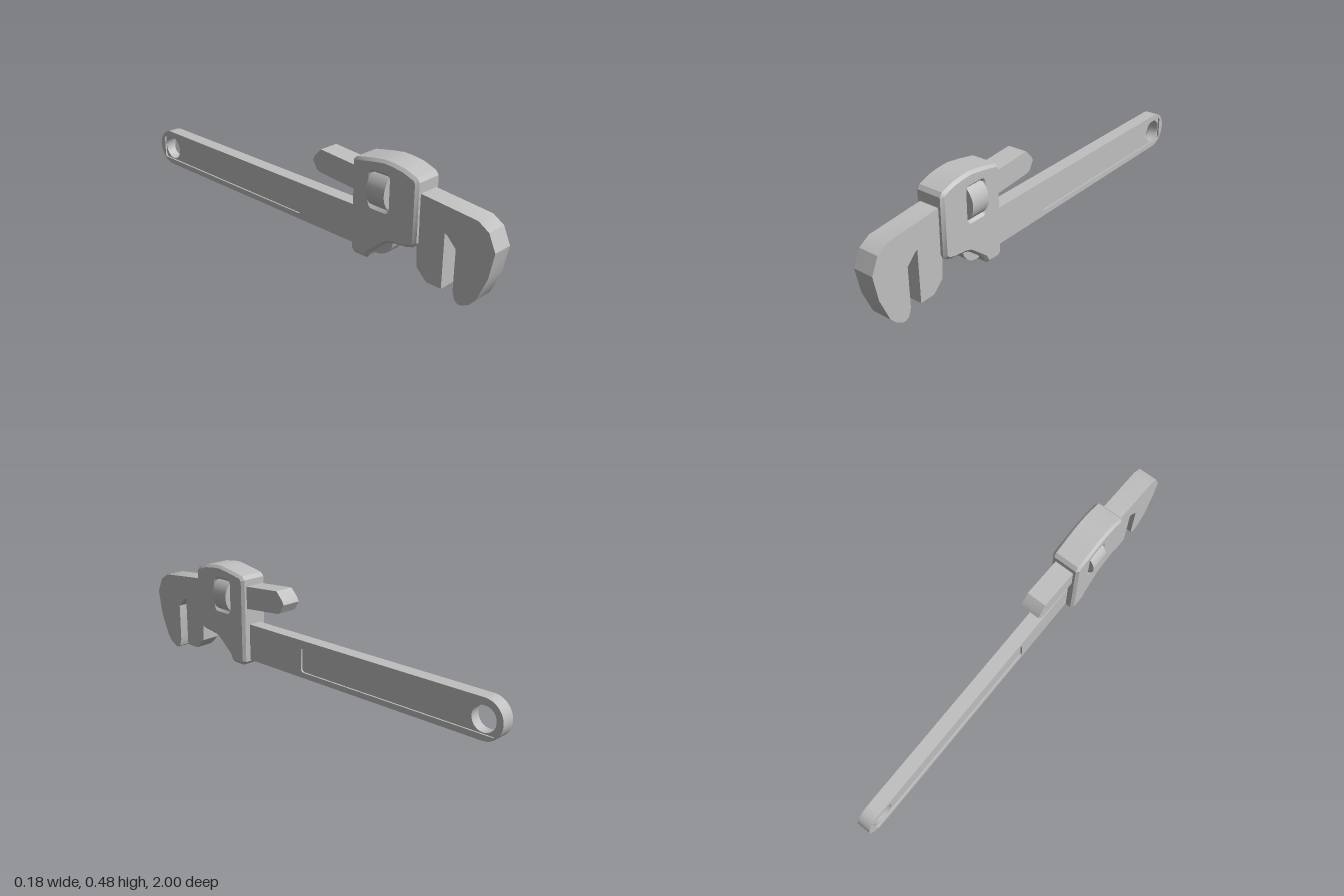
import * as THREE from 'three';
import { toCreasedNormals } from 'three/addons/utils/BufferGeometryUtils.js';

const steel = new THREE.MeshStandardMaterial({ color: 0xbfbfbf });
steel.name = 'grey steel';

// Profiles are drawn as (z, y) and extruded symmetrically across x.
const profile = (pts) => new THREE.Shape(pts.map(([z, y]) => new THREE.Vector2(z, y)));

function roundedRect(path, z0, z1, y0, y1, r) {
  path.moveTo(z0 + r, y0);
  path.lineTo(z1 - r, y0);
  path.absarc(z1 - r, y0 + r, r, -Math.PI / 2, 0);
  path.lineTo(z1, y1 - r);
  path.absarc(z1 - r, y1 - r, r, 0, Math.PI / 2);
  path.lineTo(z0 + r, y1);
  path.absarc(z0 + r, y1 - r, r, Math.PI / 2, Math.PI);
  path.lineTo(z0, y0 + r);
  path.absarc(z0 + r, y0 + r, r, Math.PI, Math.PI * 1.5);
  return path;
}

function slab(name, shape, width, x = 0, bevel = 0) {
  const depth = width - 2 * bevel;
  const geo = new THREE.ExtrudeGeometry(shape, {
    depth, curveSegments: 12, bevelEnabled: bevel > 0,
    bevelThickness: bevel, bevelSize: bevel, bevelOffset: -bevel, bevelSegments: 1,
  });
  geo.translate(0, 0, -depth / 2);
  geo.rotateY(-Math.PI / 2);
  geo.translate(x, 0, 0);
  const mesh = new THREE.Mesh(toCreasedNormals(geo, 0.5), steel);
  mesh.name = name;
  return mesh;
}

export function createModel() {
  const model = new THREE.Group();
  model.name = 'pipeWrench';

  // Handle: a core with a hanging hole, and a raised rim on both sides
  const handle = new THREE.Group();
  handle.name = 'handle';
  const outline = () => roundedRect(new THREE.Shape(), -1, 0.53, 0.06, 0.23, 0.0849);
  const core = outline();
  core.holes.push(new THREE.Path().absarc(-0.913, 0.143, 0.054, 0, Math.PI * 2, true));
  handle.add(slab('handleCore', core, 0.046));
  for (const side of [-1, 1]) {
    const rim = outline();
    rim.holes.push(roundedRect(new THREE.Path(), -0.97, 0.01, 0.085, 0.2, 0.015));
    handle.add(slab('handleRim', rim, 0.008, side * 0.027));
  }
  model.add(handle);

  // Hook jaw with its long shank running back through the housing
  model.add(slab('hookJaw', profile([
    [0.144, 0.425], [0.11, 0.39], [0.1, 0.37], [0.123, 0.33], [0.14, 0.324],
    [0.337, 0.307], [0.66, 0.27], [0.775, 0.27], [0.792, 0.264], [0.834, 0.222],
    [0.834, 0.045], [0.845, 0.012], [0.862, 0.002], [0.878, 0.004], [0.91, 0.022],
    [0.936, 0.05], [0.98, 0.155], [1, 0.265], [0.968, 0.335], [0.92, 0.365],
    [0.66, 0.39], [0.337, 0.41],
  ]), 0.092));

  // Fixed heel jaw
  model.add(slab('heelJaw', profile([
    [0.5, 0.27], [0.78, 0.27], [0.78, 0.035], [0.71, 0.035], [0.66, 0.083],
    [0.655, 0.2], [0.5, 0.2],
  ]), 0.09));

  // Chamfered housing with a window for the adjusting nut
  const housing = profile([
    [0.663, 0.435], [0.65, 0.452], [0.594, 0.472], [0.54, 0.48], [0.497, 0.482],
    [0.44, 0.474], [0.352, 0.457], [0.337, 0.44], [0.337, 0.055], [0.353, 0.038],
    [0.417, 0.038], [0.425, 0.043], [0.438, 0.07], [0.506, 0.126], [0.524, 0.14],
    [0.55, 0.148], [0.62, 0.157], [0.648, 0.166], [0.663, 0.185],
  ]);
  housing.holes.push(roundedRect(new THREE.Path(), 0.436, 0.522, 0.277, 0.418, 0.012));
  model.add(slab('housing', housing, 0.138, 0, 0.012));

  // Adjusting nut around the shank
  const nutGeo = new THREE.CylinderGeometry(0.09, 0.09, 0.09, 48);
  nutGeo.rotateX(Math.PI / 2);
  const nut = new THREE.Mesh(nutGeo, steel);
  nut.name = 'adjustingNut';
  nut.position.set(0, 0.346, 0.477);
  model.add(nut);

  return model;
}
